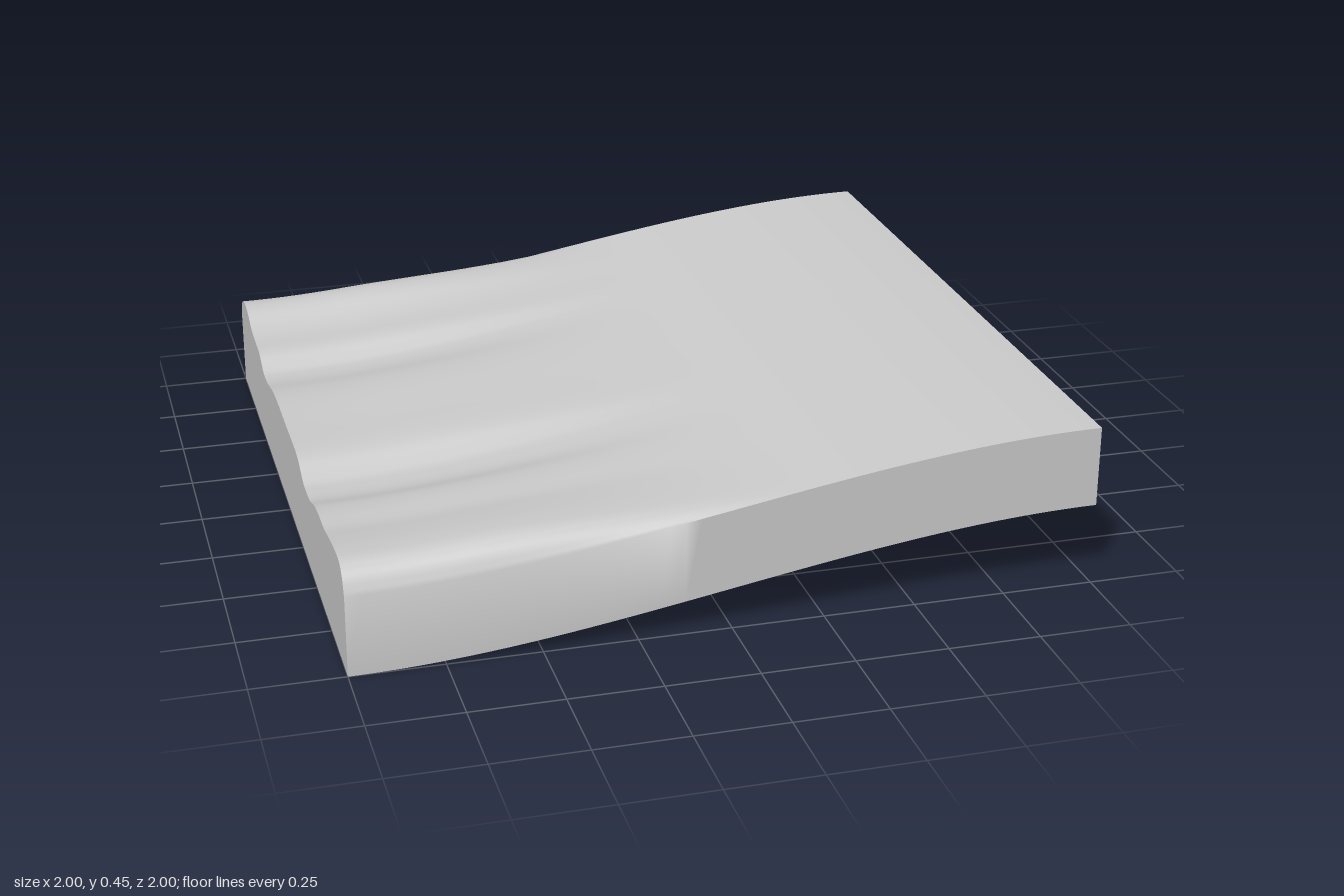
import * as THREE from 'three';
import { toCreasedNormals } from 'three/addons/utils/BufferGeometryUtils.js';

// Ripple cross-section at the low end: [z, height above the smooth slab]
const RIPPLES = [
  [-1, 0], [-0.97, 0.046], [-0.91, 0.068], [-0.84, 0.066], [-0.77, 0.045],
  [-0.7, 0.034], [-0.57, 0.03], [-0.52, 0.012], [-0.48, 0], [-0.4, 0.004],
  [-0.3, 0.024], [-0.2, 0.034], [0, 0.036], [0.22, 0.035], [0.28, 0.014],
  [0.33, 0], [0.43, 0.004], [0.52, 0.029], [0.59, 0.038], [0.69, 0.042],
  [0.77, 0.055], [0.86, 0.067], [0.94, 0.067], [0.975, 0.047], [1, 0],
];
const THICKNESS = 0.222;
const RISE = 0.228;

export function createModel() {
  const group = new THREE.Group();
  group.name = 'rippledSlopeTile';

  const stone = new THREE.MeshStandardMaterial({ color: 0xcccccc });
  stone.name = 'light grey';

  // Smooth curve through the ripple section; its points give the rows along z
  const nx = 48;
  const nz = (RIPPLES.length - 1) * 4;
  const rows = new THREE.CatmullRomCurve3(
    RIPPLES.map(([z, h]) => new THREE.Vector3(0, h, z)),
  ).getPoints(nz);

  // Slab bent along an S-shaped slope, with ripples fading out towards +x
  const geometry = new THREE.BoxGeometry(2, 1, 2, nx, 1, nz);
  const pos = geometry.attributes.position;
  for (let i = 0; i < pos.count; i++) {
    const x = pos.getX(i);
    const row = rows[Math.round((pos.getZ(i) + 1) / 2 * nz)];
    const floor = RISE * THREE.MathUtils.smoothstep(x, -1, 1);
    const fade = 1 - THREE.MathUtils.smoothstep(x, -0.7, 0.2);
    const top = floor + THICKNESS + Math.max(row.y, 0) * fade;
    pos.setXYZ(i, x, pos.getY(i) > 0 ? top : floor, row.z);
  }

  const slab = new THREE.Mesh(toCreasedNormals(geometry, Math.PI / 3), stone);
  slab.name = 'rippledSlab';
  group.add(slab);
  return group;
}
